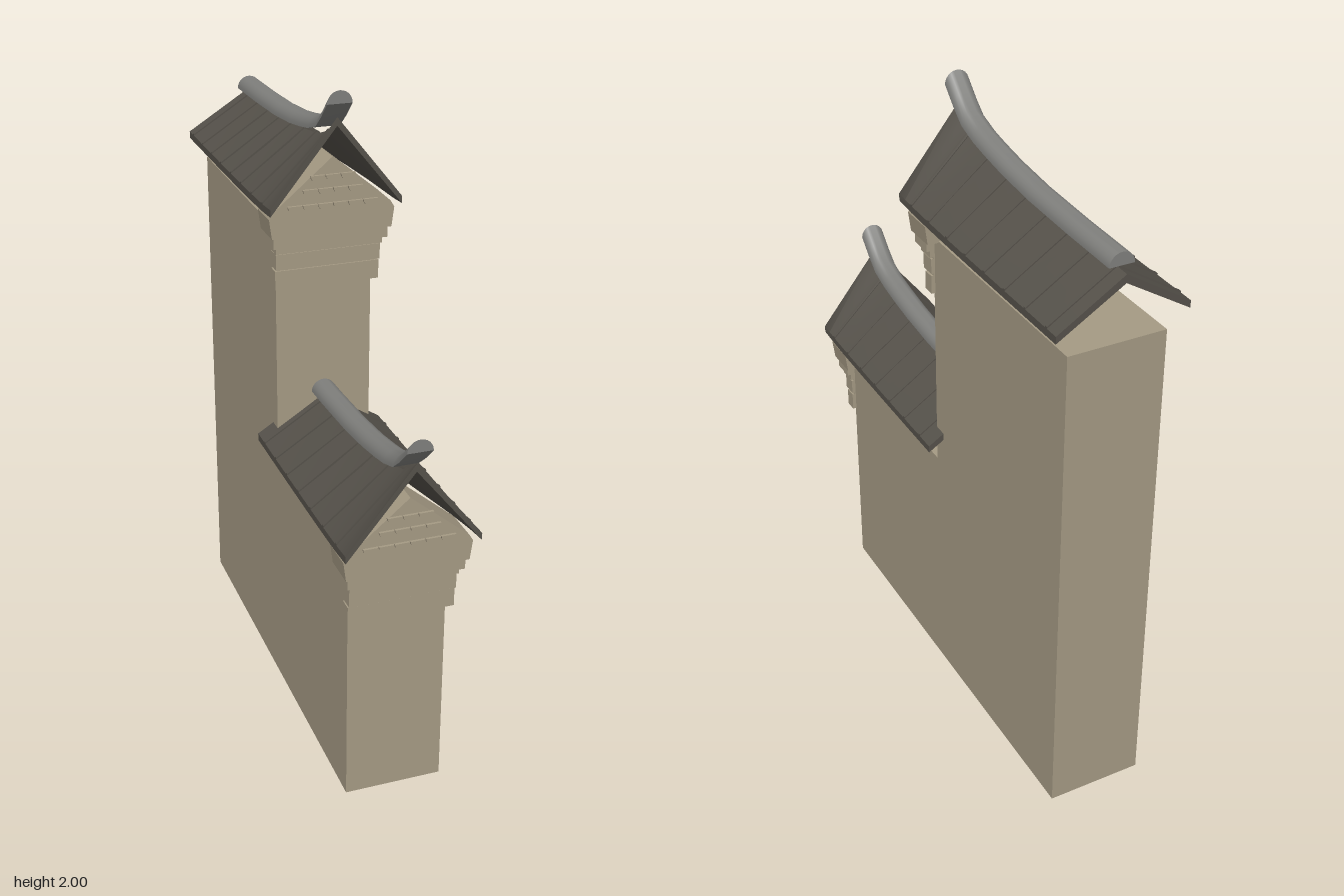
import * as THREE from 'three';
import { toCreasedNormals } from 'three/addons/utils/BufferGeometryUtils.js';

// Joins closed convex cross-sections (counter-clockwise from the front), ordered back to front
function loft(sections) {
  const pos = [], idx = [], n = sections[0].length, last = sections.length - 1;
  sections.forEach((s) => s.forEach((p) => pos.push(...p)));
  for (let k = 0; k < last; k++) {
    for (let i = 0; i < n; i++) {
      const a = k * n + i, b = k * n + (i + 1) % n;
      idx.push(a, b, b + n, a, b + n, a + n);
    }
  }
  for (let i = 1; i < n - 1; i++) {
    idx.push(0, i + 1, i, last * n, last * n + i, last * n + i + 1);
  }
  const g = new THREE.BufferGeometry();
  g.setAttribute('position', new THREE.Float32BufferAttribute(pos, 3));
  g.setIndex(idx);
  return toCreasedNormals(g, 0.7);
}

// Upswept curves as [z, y], back to front
const APEX = [[-0.785, 1.78], [-0.55, 1.784], [-0.35, 1.792], [-0.2, 1.805], [-0.1, 1.82],
  [-0.03, 1.835], [0.04, 1.86], [0.08, 1.887], [0.12, 1.92]];
const RIDGE = [[-0.755, 1.793], [-0.55, 1.798], [-0.35, 1.807], [-0.2, 1.822], [-0.1, 1.838],
  [-0.03, 1.852], [0.04, 1.875], [0.09, 1.915], [0.14, 1.963]];

function heightAt(curve, z) {
  let i = 1;
  while (i < curve.length - 1 && curve[i][0] < z) i++;
  const [z0, y0] = curve[i - 1], [z1, y1] = curve[i];
  return y0 + (y1 - y0) * (z - z0) / (z1 - z0);
}

// Stations of a curve from a chosen back end to the front
const stations = (curve, back) => [back, ...curve.map((p) => p[0]).filter((z) => z > back + 0.01)];

// One roof slope; side is 1 for left and -1 for right
function slope(side, zs, lift = 0) {
  return loft(zs.map((z) => {
    const apex = heightAt(APEX, z);
    const eave = 1.655 + (apex - 1.78) * 0.1;
    const s = [[0, apex + lift, z], [0, apex - 0.025, z],
      [0.2 * side, eave - 0.022, z], [0.2 * side, eave + lift, z]];
    return side > 0 ? s : s.reverse();
  }));
}

export function createModel() {
  const plaster = new THREE.MeshStandardMaterial({ color: 0xa59a84 });
  const tile = new THREE.MeshStandardMaterial({ color: 0x55514a });
  const ridgeGrey = new THREE.MeshStandardMaterial({ color: 0x7f7f7c });
  plaster.name = 'plaster';
  tile.name = 'roofTile';
  ridgeGrey.name = 'ridgeGrey';

  const add = (parent, name, geometry, material) => {
    const m = new THREE.Mesh(geometry, material);
    m.name = name;
    parent.add(m);
    return m;
  };
  // Box given by half width, y range and z range
  const block = (parent, name, hw, y0, y1, z0, z1) =>
    add(parent, name, new THREE.BoxGeometry(hw * 2, y1 - y0, z1 - z0), plaster)
      .position.set(0, (y0 + y1) / 2, (z0 + z1) / 2);

  function makeRoof(name, roofBack, ridgeBack) {
    const g = new THREE.Group();
    g.name = name;

    // Two tiled slopes with shallow ribs
    for (const side of [1, -1]) {
      const label = side > 0 ? 'left' : 'right';
      add(g, label + 'RoofSlope', slope(side, stations(APEX, roofBack)), tile);
      for (let z = 0.04; z > roofBack + 0.03; z -= 0.11) {
        add(g, label + 'RoofRib', slope(side, [z - 0.005, z + 0.005], 0.005), tile);
      }
    }

    // Half-round ridge cap
    const R = 0.038;
    add(g, 'ridgeCap', loft(stations(RIDGE, ridgeBack).map((z) => {
      const y = heightAt(RIDGE, z), ring = [];
      for (let i = 0; i <= 12; i++) {
        const a = i / 12 * Math.PI;
        ring.push([R * Math.cos(a), y + R * Math.sin(a), z]);
      }
      return ring;
    })), ridgeGrey);

    // Stepped corbels under the gable
    [[0.162, 1.39, 1.448, 0.035], [0.162, 1.455, 1.503, 0.045],
      [0.165, 1.508, 1.53, 0.055], [0.176, 1.53, 1.566, 0.07]]
      .forEach(([hw, y0, y1, z]) => block(g, 'corbel', hw, y0, y1, -0.005, z));
    block(g, 'corbelCore', 0.155, 1.44, 1.52, -0.005, 0.03);

    // Gable block
    const gable = new THREE.Shape([[-0.184, 1.565], [0.184, 1.565], [0.192, 1.625], [0.18, 1.645],
      [0, 1.795], [-0.18, 1.645], [-0.192, 1.625]].map((p) => new THREE.Vector2(...p)));
    add(g, 'gable', new THREE.ExtrudeGeometry(gable, { depth: 0.11, bevelEnabled: false }), plaster)
      .position.z = -0.03;

    // Rows of scale tiles on the gable face
    const half = new THREE.Shape();
    half.absarc(0, 0, 0.022, Math.PI, Math.PI * 2, false);
    const scaleGeo = new THREE.ExtrudeGeometry(half,
      { depth: 0.009, bevelEnabled: false, curveSegments: 8 });
    [[1.745, 3], [1.705, 4], [1.66, 6]].forEach(([y, n]) => {
      for (let i = 0; i < n; i++) {
        add(g, 'gableScale', scaleGeo, plaster).position.set((i - (n - 1) / 2) * 0.046, y, 0.079);
      }
    });
    return g;
  }

  const model = new THREE.Group();
  model.name = 'steppedGableWall';

  // Walls
  block(model, 'tallWall', 0.15, 0, 1.57, -0.755, 0);
  block(model, 'lowWall', 0.15, 0, 0.8, 0, 0.645);

  // Upper roof, and the same design lower and further forward
  model.add(makeRoof('upperRoof', -0.78, -0.755));
  const lower = makeRoof('lowerRoof', -0.69, -0.65);
  lower.position.set(0, -0.77, 0.645);
  model.add(lower);
  return model;
}
